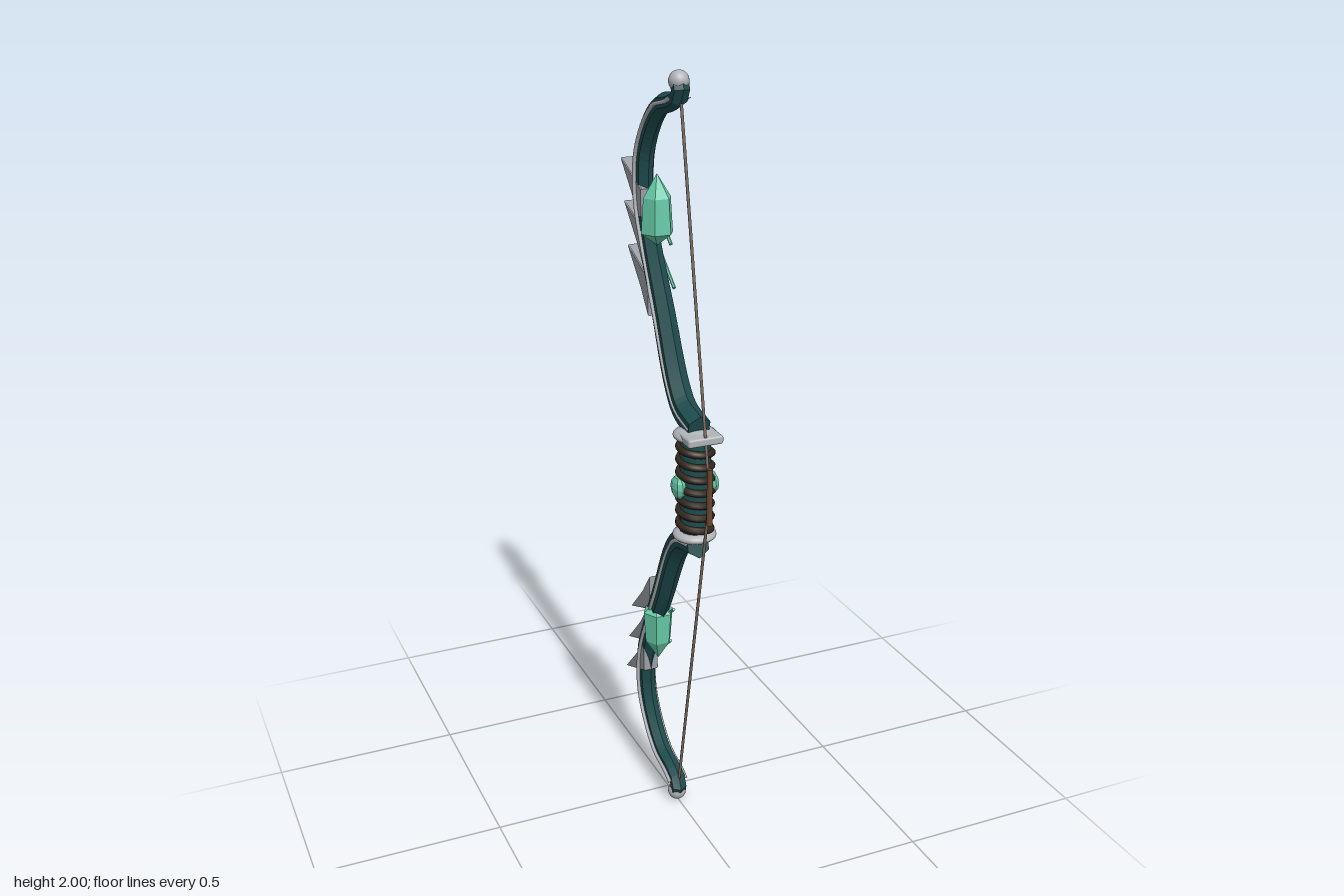
import * as THREE from 'three';
import { RoundedBoxGeometry } from 'three/addons/geometries/RoundedBoxGeometry.js';

const mat = (name, color, extra = {}) => {
  const m = new THREE.MeshStandardMaterial({ color, ...extra });
  m.name = name;
  return m;
};

const V = (x, y, z) => new THREE.Vector3(x, y, z);

export function createModel() {
  const teal = mat('dark teal wood', 0x1f4c4e, { flatShading: true });
  const silver = mat('silver', 0xb0b3b8);
  const steel = mat('blade steel', 0x9a9da3, { flatShading: true });
  const jade = mat('jade crystal', 0x66c9a8, { flatShading: true });
  const leather = mat('dark leather', 0x33261c);
  const cord = mat('bowstring', 0x75675a);
  const brown = mat('string serving', 0x6a4630);

  const model = new THREE.Group();
  model.name = 'bow';
  const add = (parent, name, geometry, material, x = 0, y = 0, z = 0) => {
    const mesh = new THREE.Mesh(geometry, material);
    mesh.name = name;
    mesh.position.set(x, y, z);
    parent.add(mesh);
    return mesh;
  };

  // Round bar between two points
  const bar = (parent, name, a, b, r, material, sides = 8) => {
    const mesh = add(parent, name, new THREE.CylinderGeometry(r, r, a.distanceTo(b), sides), material);
    mesh.position.copy(a).add(b).multiplyScalar(0.5);
    mesh.quaternion.setFromUnitVectors(V(0, 1, 0), b.clone().sub(a).normalize());
    return mesh;
  };

  // Limb centre line, heights measured from the middle of the grip
  const path = new THREE.CatmullRomCurve3([
    [0.155, 0.19], [0.18, 0.10], [0.235, 0.05], [0.40, -0.035], [0.53, -0.105], [0.65, -0.155],
    [0.76, -0.155], [0.85, -0.105], [0.905, -0.04], [0.925, 0.035], [0.945, 0.072], [0.975, 0.065],
  ].map(([y, z]) => V(0, y, z)), false, 'centripetal');

  // Six-sided tapering sweep along the centre line
  function limbGeometry() {
    const rings = 48, sides = 6, pos = [], idx = [];
    for (let j = 0; j <= rings; j++) {
      const t = j / rings;
      const p = path.getPointAt(t), d = path.getTangentAt(t);
      const rx = THREE.MathUtils.lerp(0.033, 0.023, Math.min(1, t * 1.6));
      const rn = t < 0.65 ? 0.038 : THREE.MathUtils.lerp(0.038, 0.019, (t - 0.65) / 0.35);
      for (let i = 0; i < sides; i++) {
        const a = (i / sides) * Math.PI * 2;
        pos.push(rx * Math.sin(a), p.y - d.z * rn * Math.cos(a), p.z + d.y * rn * Math.cos(a));
        if (j < rings) {
          const k = (i + 1) % sides;
          const A = j * sides + i, B = j * sides + k;
          idx.push(A, B, A + sides, B, B + sides, A + sides);
        }
      }
    }
    const last = rings * sides;
    for (let i = 1; i < sides - 1; i++) idx.push(0, i + 1, i, last, last + i, last + i + 1);
    const g = new THREE.BufferGeometry();
    g.setAttribute('position', new THREE.Float32BufferAttribute(pos, 3));
    g.setIndex(idx);
    g.computeVertexNormals();
    return g;
  }

  // Feather-like blade, profile starts at its tip
  const bladeShape = new THREE.Shape([
    [0, 0], [-0.055, 0.133], [-0.15, 0.132], [-0.088, 0.085],
  ].map(([y, z]) => new THREE.Vector2(z, y)));
  const bladeGeometry = new THREE.ExtrudeGeometry(bladeShape, {
    depth: 0.036, bevelEnabled: true, bevelThickness: 0.003, bevelSize: 0.002, bevelSegments: 1,
  });
  bladeGeometry.translate(0, 0, -0.018).rotateY(-Math.PI / 2);

  // Six-sided crystal with one long and one short point
  const crystalGeometry = new THREE.LatheGeometry(
    [[0, -0.085], [0.043, -0.053], [0.037, 0.036], [0, 0.095]].map(([r, y]) => new THREE.Vector2(r, y)),
    6, Math.PI / 2);

  const limbGeo = limbGeometry();
  for (const [label, s] of [['upper', 1], ['lower', -1]]) {
    const limb = new THREE.Group();
    limb.name = label + 'Limb';
    limb.position.y = 1;
    if (s < 0) limb.rotation.z = Math.PI;
    model.add(limb);
    add(limb, 'limbBody', limbGeo, teal);
    add(limb, 'tipBall', new THREE.SphereGeometry(0.025, 20, 14), silver, 0, 0.975, 0.062);

    // Inlaid silver line along both flanks
    for (const side of [-1, 1]) {
      const line = new THREE.CatmullRomCurve3(path.getSpacedPoints(30).slice(0, 30)
        .map((p, i) => V(side * (i < 12 ? 0.026 : 0.024), p.y, p.z)));
      add(limb, 'flankInlay', new THREE.TubeGeometry(line, 60, 0.0055, 6), silver);
    }

    // Blades on the back, each with a jade streak on the left flank
    for (const [y, z] of [[0.74, -0.257], [0.633, -0.236], [0.523, -0.214]]) {
      const blade = add(limb, 'blade', bladeGeometry, steel, 0, y, z);
      // point the profile from its tip back toward the limb
      blade.position.z = z;
      bar(limb, 'jadeStreak', V(s * 0.027, y - 0.032, z + 0.032), V(s * 0.027, y - 0.18, z + 0.212),
        0.0045, jade, 6);
    }

    // Floating crystal
    add(limb, 'crystal', crystalGeometry, jade, 0, s > 0 ? 0.64 : 0.525, -0.07);

    // Collar at the end of the grip
    const collar = add(limb, 'gripCollar', new THREE.SphereGeometry(0.056, 28, 14), silver, 0, 0.135, 0.168);
    collar.scale.y = 0.34;

    // Half of the string
    bar(limb, 'bowstring', V(0, 0.925, 0.077), V(0, 0, 0.257), 0.004, cord);
  }

  // Grip core and spiral wrap
  add(model, 'gripCore', new THREE.CylinderGeometry(0.039, 0.039, 0.27, 16), teal, 0, 1, 0.17);
  const coil = [];
  const turns = 7, steps = turns * 12;
  for (let i = 0; i <= steps; i++) {
    const a = (i / 12) * Math.PI * 2;
    coil.push(V(0.041 * Math.cos(a), 0.88 + 0.24 * i / steps, 0.17 + 0.041 * Math.sin(a)));
  }
  add(model, 'gripWrap', new THREE.TubeGeometry(new THREE.CatmullRomCurve3(coil), 220, 0.0095, 8), leather);

  // Arrow rest on the upper collar
  add(model, 'arrowRest', new RoundedBoxGeometry(0.094, 0.022, 0.075, 3, 0.006), silver, 0, 1.137, 0.198);

  // Gems on both sides of the grip
  for (const side of [-1, 1]) {
    const gem = add(model, 'gripGem', new THREE.SphereGeometry(0.031, 8, 6), jade, side * 0.045, 1, 0.168);
    gem.scale.x = 0.55;
  }

  // Serving at the middle of the string
  add(model, 'stringServing', new THREE.CylinderGeometry(0.0075, 0.0075, 0.15, 10), brown, 0, 1, 0.257);

  return model;
}
